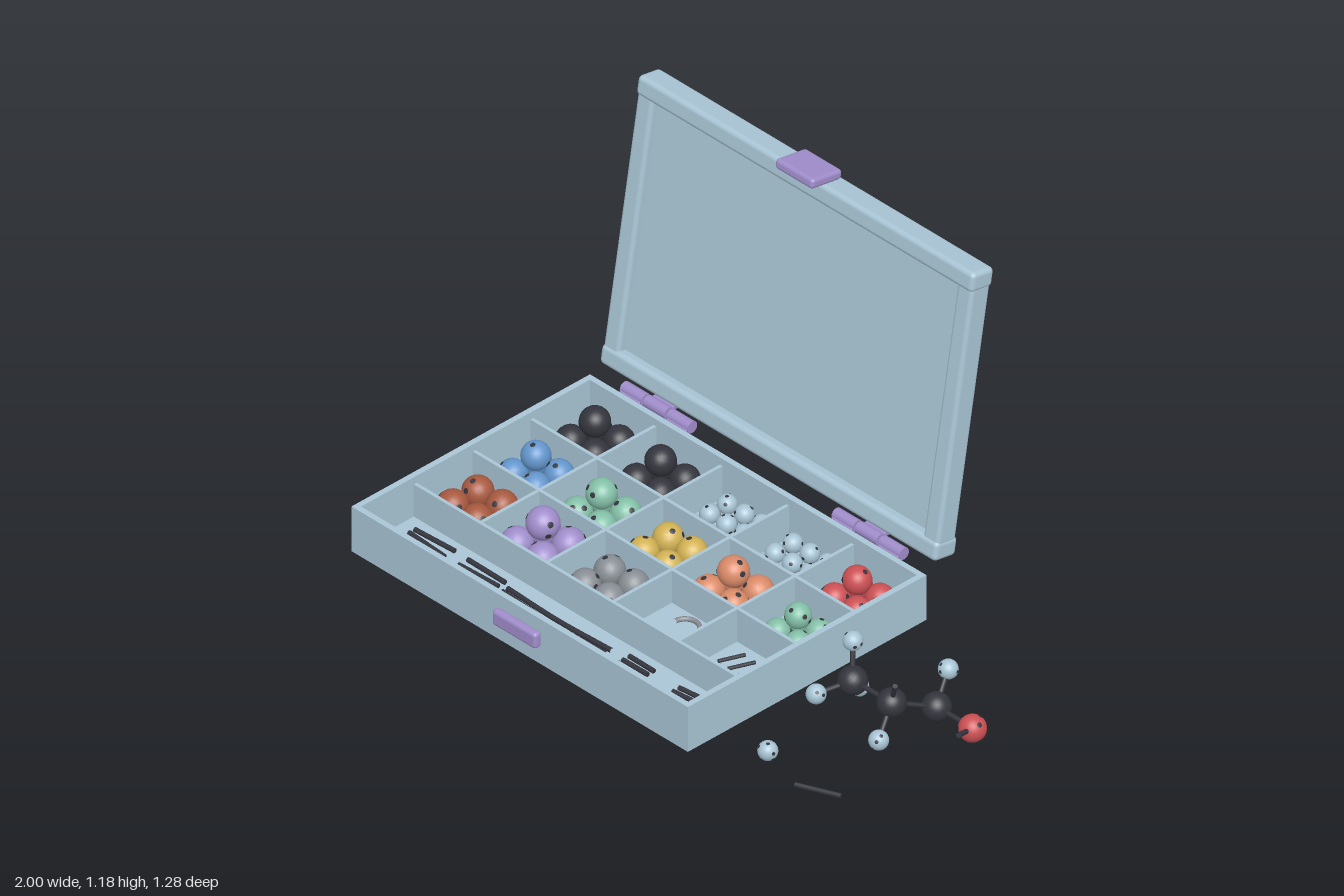
import * as THREE from 'three';
import { mergeGeometries } from 'three/addons/utils/BufferGeometryUtils.js';
import { RoundedBoxGeometry } from 'three/addons/geometries/RoundedBoxGeometry.js';

const colors = {
  caseBlue: 0xa9c5d5, purple: 0xa08dcb, black: 0x34353d, red: 0xcc5054, blue: 0x6496cc,
  green: 0x84c0a8, yellow: 0xd2b254, orange: 0xda8a68, brown: 0xa8593f, grey: 0x888e94,
};
const M = {};
for (const [name, color] of Object.entries(colors)) {
  M[name] = new THREE.MeshStandardMaterial({ color });
  M[name].name = name;
}

let seed = 7;
const rand = () => (seed = (seed * 16807) % 2147483647) / 2147483647;
const V = (x, y, z) => new THREE.Vector3(x, y, z);

function add(parent, name, geo, mat, x = 0, y = 0, z = 0) {
  const mesh = new THREE.Mesh(geo, mat);
  mesh.name = name;
  mesh.position.set(x, y, z);
  parent.add(mesh);
  return mesh;
}
function box(parent, name, mat, w, h, d, x, y, z, r = 0) {
  const geo = r ? new RoundedBoxGeometry(w, h, d, 3, r) : new THREE.BoxGeometry(w, h, d);
  return add(parent, name, geo, mat, x, y, z);
}
function group(parent, name) {
  const g = new THREE.Group();
  g.name = name;
  parent.add(g);
  return g;
}

// Dark peg holes as thin caps facing four tetrahedral directions and two extra ones
const holeDirs = [V(1, 1, 1), V(-1, -1, 1), V(-1, 1, -1), V(1, -1, -1), V(0, 1, 0.1), V(0.1, -0.2, -1)];
function holes(r) {
  return mergeGeometries(holeDirs.map((d) => {
    const cap = new THREE.SphereGeometry(r * 1.012, 10, 2, 0, Math.PI * 2, 0, 0.19);
    return cap.applyQuaternion(new THREE.Quaternion().setFromUnitVectors(V(0, 1, 0), d.clone().normalize()));
  }));
}
function ball(parent, mat, r, x, y, z) {
  const g = group(parent, 'drilledBall');
  g.position.set(x, y, z);
  g.rotation.set(rand() * 6, rand() * 6, rand() * 6);
  add(g, 'ball', new THREE.SphereGeometry(r, 24, 16), mat);
  add(g, 'holes', holes(r), M.black);
}
function rod(parent, a, b, r = 0.008) {
  const dir = b.clone().sub(a);
  const m = add(parent, 'rod', new THREE.CylinderGeometry(r, r, dir.length(), 10), M.black);
  m.position.copy(a).add(b).multiplyScalar(0.5);
  m.quaternion.setFromUnitVectors(V(0, 1, 0), dir.normalize());
}

const CX = -0.29, W = 1.42, FLOOR = 0.02;
const cols = [-0.842, -0.565, -0.285, -0.008, 0.265];
const rows = [-0.228, -0.012, 0.25];

function buildTray(root) {
  const tray = group(root, 'tray');
  box(tray, 'floor', M.caseBlue, W, FLOOR, 0.97, CX, FLOOR / 2, 0.125);
  for (const s of [-1, 1]) {
    box(tray, 'sideWall', M.caseBlue, 0.02, 0.16, 0.97, CX + s * 0.7, 0.08, 0.125);
    box(tray, 'endWall', M.caseBlue, W - 0.04, 0.16, 0.02, CX, 0.08, 0.125 + s * 0.475);
  }
  // Compartment dividers
  for (const z of [-0.105, 0.13, 0.37]) box(tray, 'longDivider', M.caseBlue, W - 0.04, 0.115, 0.012, CX, 0.0775, z);
  for (const x of [-0.705, -0.425, -0.145, 0.13]) box(tray, 'crossDivider', M.caseBlue, 0.012, 0.115, 0.72, x, 0.0775, 0.01);
  box(tray, 'frontClasp', M.purple, 0.185, 0.055, 0.03, CX, 0.09, 0.622, 0.012);
}

function buildLid(root) {
  const lid = group(root, 'lid');
  lid.position.set(CX, 0.655, -0.517);
  lid.rotation.x = -0.165;
  box(lid, 'panel', M.caseBlue, W - 0.1, 0.88, 0.02, 0, 0, 0);
  for (const s of [-1, 1]) {
    box(lid, 'endRail', M.caseBlue, W, 0.066, 0.09, 0, s * 0.451, 0, 0.016);
    box(lid, 'sideRail', M.caseBlue, 0.065, 0.87, 0.078, s * 0.675, 0, 0, 0.014);
  }
  box(lid, 'lidClasp', M.purple, 0.16, 0.034, 0.125, 0, 0.501, 0.035, 0.012);
}

function buildHinges(root) {
  for (const x of [-0.737, 0.157]) {
    const h = group(root, 'hinge');
    h.position.set(x, 0.163, -0.385);
    for (const i of [-1, 0, 1]) {
      const k = add(h, 'knuckle', new THREE.CylinderGeometry(0.02, 0.02, 0.09, 16), M.purple, i * 0.098);
      k.rotation.z = Math.PI / 2;
      if (i) box(h, 'trayLeaf', M.purple, 0.085, 0.05, 0.016, i * 0.098, -0.025, 0.016, 0.004);
      else box(h, 'lidLeaf', M.purple, 0.085, 0.016, 0.045, 0, 0.006, -0.024, 0.004);
    }
  }
}

// Four balls in a square, with an optional fifth resting on top
function pile(parent, mat, x, z, r, five) {
  const g = group(parent, 'ballPile');
  const s = r + 0.002;
  for (const i of [-1, 1]) for (const j of [-1, 1]) ball(g, mat, r, x + i * s, FLOOR + r, z + j * s);
  if (five) ball(g, mat, r, x, FLOOR + r * 2.42, z);
}
function smallPile(parent, x, z) {
  const g = group(parent, 'smallBallPile');
  for (const i of [-1, 0, 1]) for (const j of [-1, 0, 1]) ball(g, M.caseBlue, 0.031, x + i * 0.072, FLOOR + 0.031, z + j * 0.072);
  for (const i of [-1, 1]) for (const j of [-1, 1]) ball(g, M.caseBlue, 0.031, x + i * 0.036, FLOOR + 0.066, z + j * 0.036);
}

function buildContents(root) {
  const g = group(root, 'contents');
  const piles = [
    ['black', 0, 0, 0.048, 1], ['black', 1, 0, 0.048, 1], ['red', 4, 0, 0.045, 1],
    ['blue', 0, 1, 0.046, 1], ['green', 1, 1, 0.048, 1], ['yellow', 2, 1, 0.048, 0],
    ['orange', 3, 1, 0.049, 1], ['green', 4, 1, 0.041, 1], ['brown', 0, 2, 0.049, 0],
    ['purple', 1, 2, 0.052, 1], ['grey', 2, 2, 0.048, 0],
  ];
  for (const [c, i, j, r, five] of piles) pile(g, M[c], cols[i], j === 1 ? 0.012 : rows[j], r, five);
  smallPile(g, cols[2], rows[0]);
  smallPile(g, cols[3], rows[0]);

  // Curved connectors
  for (const [x, z, turn] of [[-0.012, 0.205, 0], [-0.05, 0.305, 2.5], [0.035, 0.305, -2.5]]) {
    const arc = add(g, 'curvedConnector', new THREE.TorusGeometry(0.043, 0.008, 8, 20, Math.PI), M.grey, x, FLOOR + 0.01, z);
    arc.rotation.set(-Math.PI / 2, 0, turn);
  }
  // Loose short pegs
  const pegs = [[0.195, 0.215, 1], [0.243, 0.22, 1], [0.29, 0.222, 1], [0.185, 0.305, 1],
    [0.222, 0.307, 1], [0.262, 0.307, 1], [0.298, 0.31, -1], [0.333, 0.305, -1]];
  for (const [x, z, s] of pegs) rod(g, V(x - s * 0.016, FLOOR + 0.01, z + 0.04), V(x + s * 0.016, FLOOR + 0.01, z - 0.04), 0.006);

  // Front tray bundles: x centre, half length, count
  for (const [x, half, n] of [[-0.84, 0.08, 5], [-0.622, 0.08, 5], [0.033, 0.053, 6], [0.25, 0.053, 6]]) {
    for (let i = 0; i < n; i++) {
      const z = 0.49 + (i / (n - 1) - 0.5) * 0.13, tilt = (rand() - 0.5) * 0.012;
      rod(g, V(x - half, FLOOR + 0.01, z - tilt), V(x + half, FLOOR + 0.01, z + tilt));
    }
  }
  // Long flexible connectors
  for (let i = 0; i < 5; i++) {
    const z = 0.442 + i * 0.022, bow = (i - 2) * 0.002 + 0.012, y = FLOOR + 0.01;
    const path = new THREE.CatmullRomCurve3([V(-0.515, y, z), V(-0.295, y, z + bow), V(-0.075, y, z)]);
    add(g, 'flexibleConnector', new THREE.TubeGeometry(path, 16, 0.008, 8), M.black);
  }
}

// Assembled ball-and-stick model beside the case
function buildMolecule(root) {
  const g = group(root, 'molecule');
  const c1 = V(0.607, 0.112, 0.12), c2 = V(0.762, 0.107, 0.112), c3 = V(0.81, 0.05, -0.025), o = V(0.957, 0.045, -0.03);
  const h = [V(0.575, 0.222, 0.088), V(0.57, 0.1, 0.233), V(0.562, 0.035, 0.052), V(0.8, 0.035, 0.2), V(0.775, 0.127, -0.107)];
  for (const c of [c1, c2, c3]) ball(g, M.black, 0.046, c.x, c.y, c.z);
  ball(g, M.red, 0.043, o.x, o.y, o.z);
  for (const p of h) ball(g, M.caseBlue, 0.031, p.x, p.y, p.z);
  const bonds = [[c1, c2], [c2, c3], [c3, o], [c1, h[0]], [c1, h[1]], [c1, h[2]], [c2, h[3]], [c3, h[4]],
    [c2, V(0.802, 0.197, 0.135)], [o, V(0.986, 0.075, 0.055)]];
  for (const [a, b] of bonds) rod(g, a, b);
  ball(root, M.caseBlue, 0.031, 0.61, 0.032, 0.468);
  rod(root, V(0.767, 0.009, 0.508), V(0.902, 0.009, 0.451));
}

export function createModel() {
  seed = 7;
  const root = new THREE.Group();
  root.name = 'modelKit';
  buildTray(root);
  buildLid(root);
  buildHinges(root);
  buildContents(root);
  buildMolecule(root);
  return root;
}
